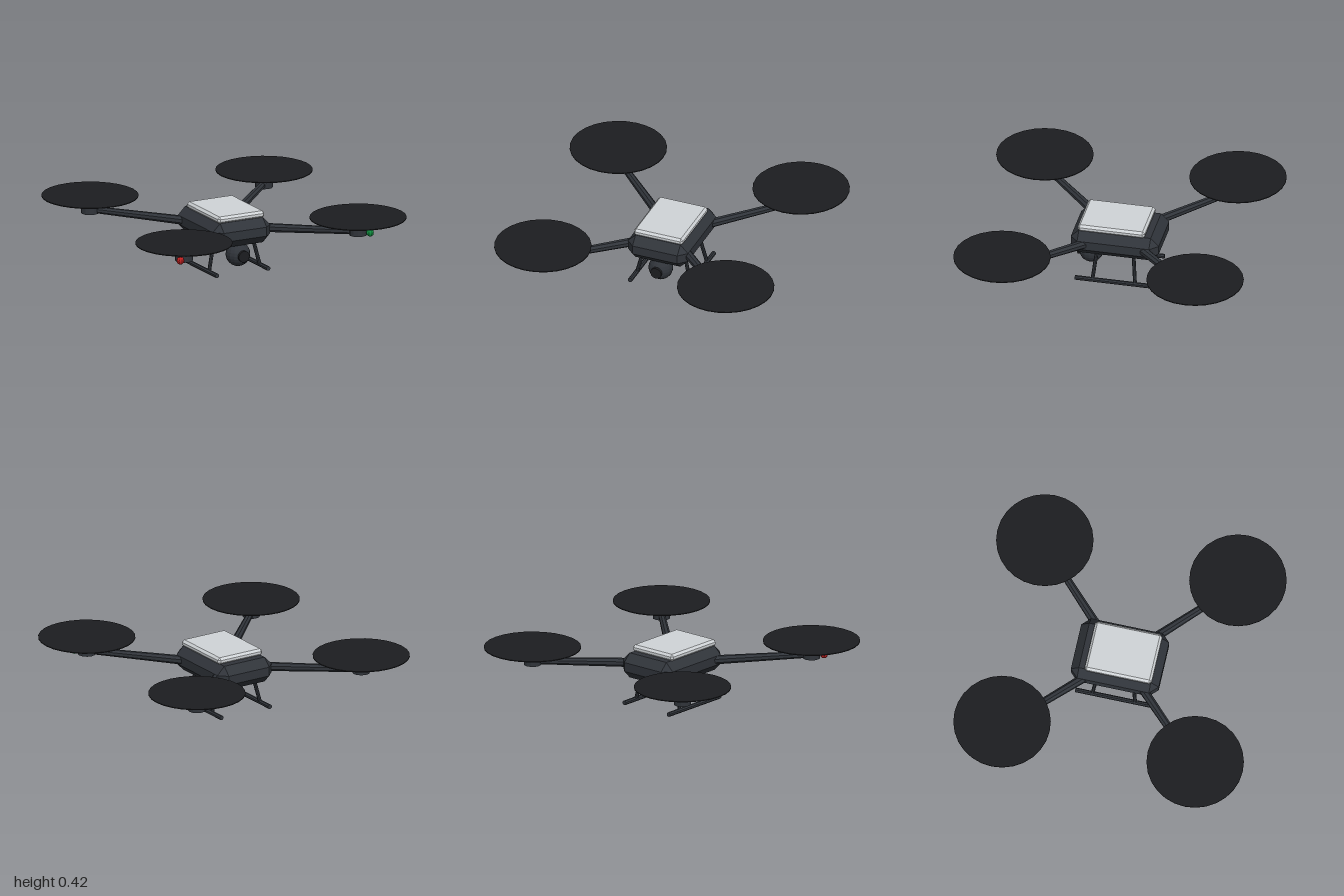
import * as THREE from 'three';
import { ConvexGeometry } from 'three/addons/geometries/ConvexGeometry.js';

const mat = (color) => new THREE.MeshStandardMaterial({ color, flatShading: true });
const V = (x, y, z) => new THREE.Vector3(x, y, z);

// Box with every edge and corner cut at 45 degrees
function chamferBox(w, h, d, c) {
  const pts = [];
  for (const x of [-w / 2, w / 2]) for (const y of [-h / 2, h / 2]) for (const z of [-d / 2, d / 2]) {
    const ix = x - Math.sign(x) * c, iy = y - Math.sign(y) * c, iz = z - Math.sign(z) * c;
    pts.push(V(x, iy, iz), V(ix, y, iz), V(ix, iy, z));
  }
  return new ConvexGeometry(pts);
}

export function createModel() {
  const model = new THREE.Group();
  model.name = 'quadcopter';
  const dark = mat(0x30343a), black = mat(0x1c1d20), shell = mat(0xd0d4d7);
  const red = mat(0xc02020), green = mat(0x109040);

  function add(name, geometry, material, x = 0, y = 0, z = 0, parent = model) {
    const mesh = new THREE.Mesh(geometry, material);
    mesh.name = name;
    mesh.position.set(x, y, z);
    parent.add(mesh);
    return mesh;
  }

  // Straight, optionally tapered rod between two points
  function rod(name, a, b, ra, rb, sides, parent) {
    const dir = b.clone().sub(a);
    const geometry = new THREE.CylinderGeometry(rb, ra, dir.length(), sides).rotateY(Math.PI / sides);
    const mid = a.clone().lerp(b, 0.5);
    const mesh = add(name, geometry, dark, mid.x, mid.y, mid.z, parent);
    mesh.quaternion.setFromUnitVectors(V(0, 1, 0), dir.normalize());
    return mesh;
  }

  // Fuselage and light top cover
  add('body', chamferBox(0.44, 0.175, 0.61, 0.056), dark, 0, 0.288, 0);
  add('topCover', chamferBox(0.36, 0.05, 0.465, 0.016), shell, 0, 0.395, 0.024);

  // Four arms, each with motor, shaft and rotor disc
  for (const sx of [-1, 1]) for (const sz of [-1, 1]) {
    const unit = new THREE.Group();
    unit.name = (sz > 0 ? 'front' : 'rear') + (sx > 0 ? 'Left' : 'Right') + 'Arm';
    model.add(unit);
    const x = sx * 0.67, z = sz * 0.67;
    rod('arm', V(sx * 0.16, 0.287, sz * 0.17), V(x, 0.316, z), 0.032, 0.023, 8, unit);
    add('motor', new THREE.CylinderGeometry(0.06, 0.06, 0.104, 12), dark, x, 0.342, z, unit);
    add('shaft', new THREE.CylinderGeometry(0.01, 0.01, 0.02, 8), dark, x, 0.402, z, unit);
    add('rotorDisc', new THREE.CylinderGeometry(0.33, 0.33, 0.006, 28), black, x, 0.413, z, unit);
    // Navigation light on the front arms only
    if (sz > 0) {
      add('navigationLight', new THREE.SphereGeometry(0.027, 8, 6), sx > 0 ? green : red,
        sx * 0.73, 0.312, 0.73, unit);
    }
  }

  // Landing gear: a skid and two splayed legs on each side
  for (const s of [-1, 1]) {
    const gear = new THREE.Group();
    gear.name = s > 0 ? 'leftLandingGear' : 'rightLandingGear';
    model.add(gear);
    rod('skid', V(s * 0.197, 0.015, -0.266), V(s * 0.197, 0.015, 0.268), 0.016, 0.016, 8, gear);
    for (const f of [-1, 1]) {
      rod('leg', V(s * 0.148, 0.215, f * 0.127), V(s * 0.195, 0.015, f * 0.148), 0.013, 0.013, 8, gear);
    }
  }

  // Camera ball with lens barrel
  add('cameraBall', new THREE.SphereGeometry(0.084, 16, 12), dark, 0, 0.129, 0.198);
  add('lensBarrel', new THREE.CylinderGeometry(0.04, 0.04, 0.05, 14).rotateX(Math.PI / 2), black, 0, 0.129, 0.264);

  return model;
}
